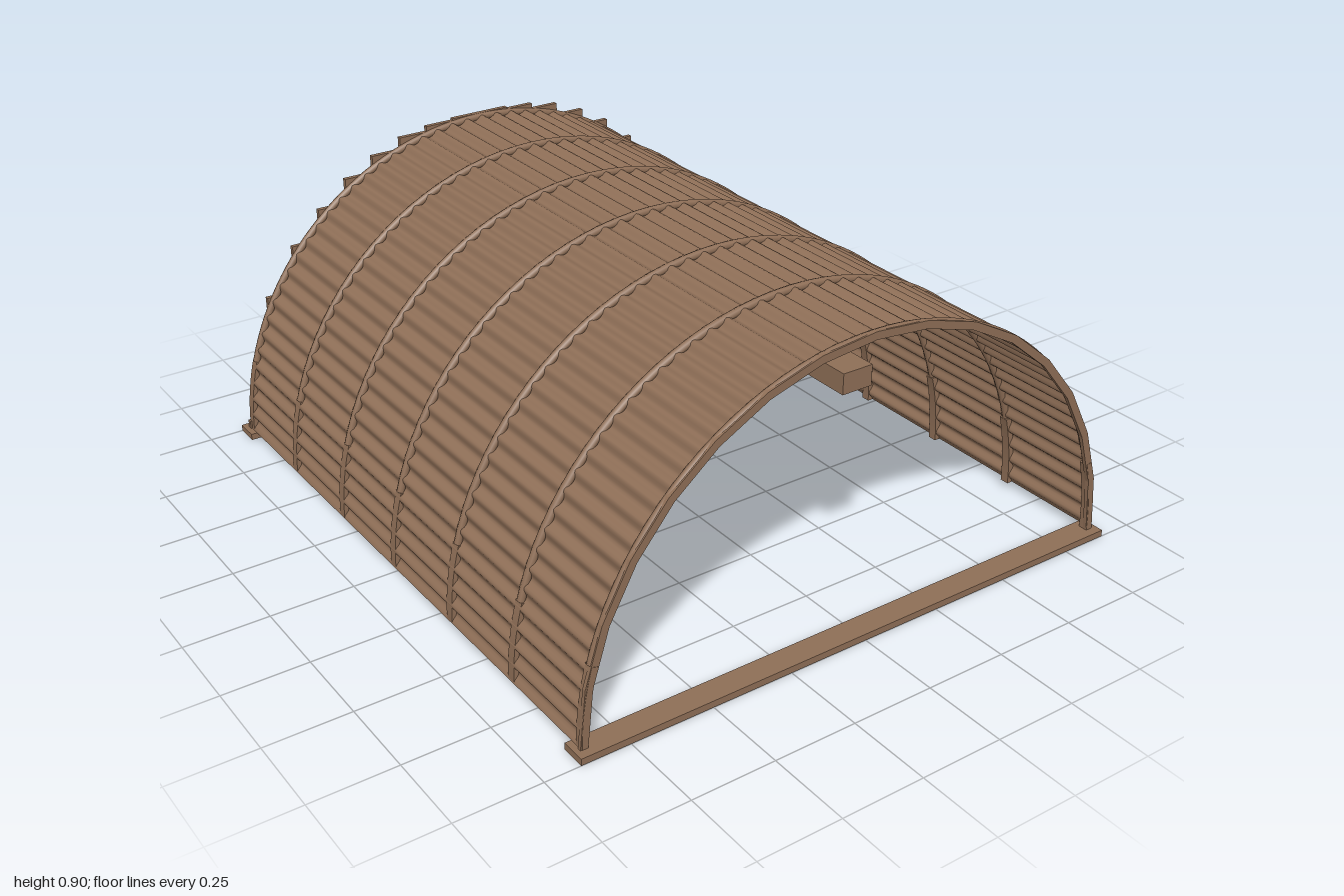
import * as THREE from 'three';

const BASE = 0.02; // height of the arch springing line
const brown = new THREE.MeshStandardMaterial({ color: 0x8f6f57, side: THREE.DoubleSide });
brown.name = 'brown';

function add(parent, name, geometry, x = 0, y = 0, z = 0) {
  const mesh = new THREE.Mesh(geometry, brown);
  mesh.name = name;
  mesh.position.set(x, y, z);
  parent.add(mesh);
  return mesh;
}

// Box given by its lower and upper corners
function box(parent, name, x0, y0, z0, x1, y1, z1) {
  return add(parent, name, new THREE.BoxGeometry(x1 - x0, y1 - y0, z1 - z0),
    (x0 + x1) / 2, (y0 + y1) / 2, (z0 + z1) / 2);
}

// Corrugated half-cylinder sheet
function corrugatedSheet(length, radius, wave, waves) {
  const geo = new THREE.PlaneGeometry(Math.PI, length, waves * 8, 1);
  const p = geo.attributes.position;
  for (let i = 0; i < p.count; i++) {
    const a = p.getX(i);
    const r = radius + wave * Math.cos(a * 2 * waves);
    p.setXYZ(i, r * Math.sin(a), r * Math.cos(a), -p.getY(i));
  }
  geo.computeVertexNormals();
  return geo;
}

// Curved strap between two angles
function strap(inner, outer, a0, a1, width) {
  const s = new THREE.Shape();
  s.absarc(0, 0, outer, a0, a1, false);
  s.absarc(0, 0, inner, a1, a0, true);
  const geo = new THREE.ExtrudeGeometry(s, { depth: width, bevelEnabled: false, curveSegments: 8 });
  return geo.translate(0, 0, -width / 2);
}

export function createModel() {
  const model = new THREE.Group();
  model.name = 'archedShelter';

  // Sills across both ends
  box(model, 'frontSill', -0.895, 0, 0.925, 0.895, BASE, 1);
  box(model, 'backSill', -0.895, 0, -1, 0.895, BASE, -0.925);

  // Roof sheet
  add(model, 'corrugatedRoof', corrugatedSheet(1.92, 0.868, 0.008, 50), 0, BASE, 0);

  // Ribs: round arch above, flat feet below
  const footAngle = 0.268;
  const arch = new THREE.TorusGeometry(0.869, 0.0115, 8, 64, Math.PI - 2 * footAngle);
  arch.rotateZ(footAngle);
  const leftFoot = strap(0.857, 0.875, 0, footAngle, 0.028);
  const rightFoot = strap(0.857, 0.875, Math.PI - footAngle, Math.PI, 0.028);
  for (let i = -3; i <= 3; i++) {
    const rib = new THREE.Group();
    rib.name = 'rib';
    rib.position.set(0, BASE, i * 0.32);
    add(rib, 'ribArch', arch);
    add(rib, 'leftRibFoot', leftFoot);
    add(rib, 'rightRibFoot', rightFoot);
    model.add(rib);
  }

  // Flat front rim covering the roof edge
  add(model, 'frontRim', strap(0.857, 0.88, 0, Math.PI, 0.012), 0, BASE, 0.967);

  // Stepped back wall
  const steps = [[0.88, 0.045], [0.78, 0.45], [0.682, 0.6], [0.585, 0.7],
    [0.487, 0.78], [0.39, 0.835], [0.29, 0.875], [0.195, 0.893], [0.1, 0.9]];
  const right = [];
  steps.forEach(([x, y], i) => {
    right.push([x, i ? steps[i - 1][1] : BASE], [x, y]);
  });
  const left = right.map(([x, y]) => [-x, y]).reverse();
  const outline = new THREE.Shape([...right, ...left].map(([x, y]) => new THREE.Vector2(x, y)));
  add(model, 'backWall', new THREE.ExtrudeGeometry(outline, { depth: 0.015, bevelEnabled: false }), 0, 0, -0.977);

  // Low bench against the back wall
  box(model, 'bench', -0.335, 0.005, -0.965, 0.335, 0.195, -0.85);

  // Ceiling beam with a hanging cord
  box(model, 'ceilingBeam', -0.047, 0.71, -0.962, 0.047, 0.77, 0.91);
  const hanging = new THREE.Group();
  hanging.name = 'hangingCord';
  hanging.position.z = 0.22;
  add(hanging, 'cordMount', new THREE.CylinderGeometry(0.024, 0.024, 0.032, 20), 0, 0.695, 0);
  add(hanging, 'cord', new THREE.CylinderGeometry(0.003, 0.003, 0.35, 8), 0, 0.51, 0);
  add(hanging, 'cordKnob', new THREE.SphereGeometry(0.01, 12, 8), 0, 0.33, 0);
  model.add(hanging);

  return model;
}
